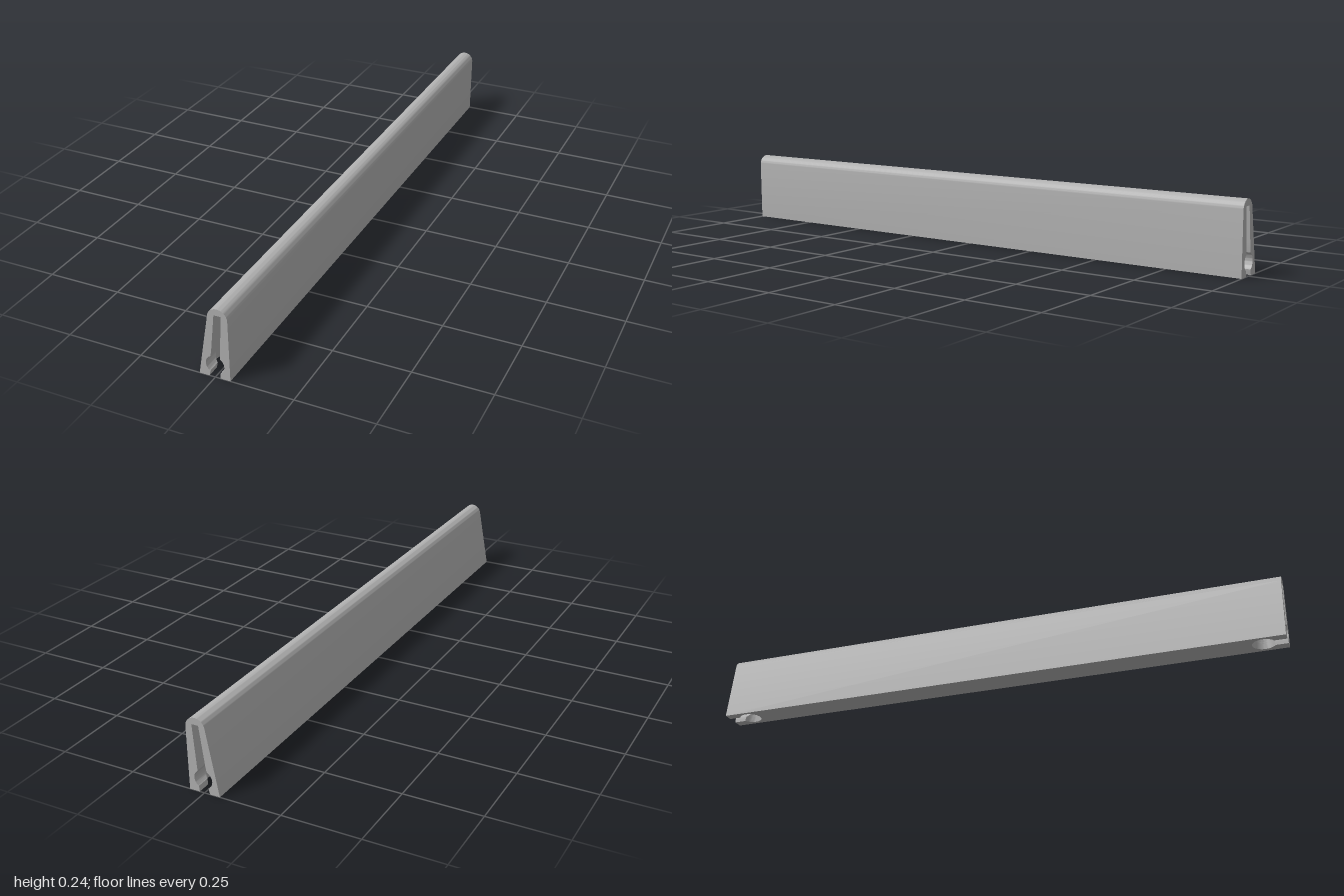
import * as THREE from 'three';
import { toCreasedNormals } from 'three/addons/utils/BufferGeometryUtils.js';

const TOP = 0.215;                       // height of the cavity ceiling
const mix = THREE.MathUtils.lerp;

// Left and right edge of the end slot at height y: a tapered slit with a round channel
function slotEdges(y) {
  const c = Math.sqrt(Math.max(0, 0.0009 - (y - 0.043) ** 2));
  const t = (y - 0.07) / (TOP - 0.07), b = y / 0.018;
  const l = y < 0.043 ? mix(-0.019, -0.014, Math.min(b, 1)) : mix(-0.0105, 0.0075, t);
  const r = y < 0.043 ? mix(0.016, 0.017, Math.min(b, 1)) : mix(0.0195, 0.030, t);
  return c > 0 ? [Math.min(l, 0.0015 - c), Math.max(r, 0.0015 + c)] : [l, r];
}

// Keyhole outline at height y: slot from the end face into a leaning, tapering round pocket
function keyhole(y, s) {
  const t = y / TOP, cx = mix(-0.002, 0.0185, t), rad = mix(0.038, 0.02, t), cz = 0.925;
  const [l, r] = slotEdges(y);
  const a0 = Math.acos((r - cx) / rad), a1 = Math.acos((l - cx) / rad) - 2 * Math.PI;
  const pts = [[r, s]];
  for (let i = 0; i <= 32; i++) {
    const a = mix(a0, a1, i / 32);
    pts.push([cx + rad * Math.cos(a), s * (cz + rad * Math.sin(a))]);
  }
  pts.push([l, s]);
  return pts;
}

// Surface through rows of points
function grid(rows, crease) {
  const n = rows[0].length, index = [];
  for (let i = 0; i < rows.length - 1; i++)
    for (let j = 0; j < n - 1; j++) {
      const a = i * n + j, d = a + n;
      index.push(a, a + 1, d + 1, a, d + 1, d);
    }
  const g = new THREE.BufferGeometry();
  g.setAttribute('position', new THREE.Float32BufferAttribute(rows.flat(2), 3));
  g.setIndex(index);
  return toCreasedNormals(g, crease);
}

const flat = (pts) => new THREE.ShapeGeometry(new THREE.Shape(pts.map(([x, y]) => new THREE.Vector2(x, y))));

export function createModel() {
  const group = new THREE.Group();
  const grey = new THREE.MeshStandardMaterial({ color: 0xb0b0b0 });
  grey.name = 'grey';
  const add = (name, geometry) => {
    const m = new THREE.Mesh(geometry, grey);
    m.name = name;
    group.add(m);
  };

  // Bar section: upright side, rounded top, leaning side
  const outline = [[0.049, 0]];
  for (let i = 0; i <= 24; i++) {
    const a = (i / 24) * 2.96;
    outline.push([0.0185 + 0.032 * Math.cos(a), 0.205 + 0.032 * Math.sin(a)]);
  }
  outline.push([-0.0515, 0]);
  add('barSides', grid(outline.map(([x, y]) => [[x, y, 1], [x, y, -1]]), 0.5));

  // Heights at which the cavity is sampled
  const levels = [0, 0.009, 0.018];
  for (let i = 0; i <= 20; i++) levels.push(0.043 + 0.03 * Math.sin(mix(-0.97, 1.12, i / 20)));
  for (let i = 1; i <= 8; i++) levels.push(mix(0.0705, TOP, i / 8));

  // End faces with the slot cut out
  const slot = [
    ...levels.map((y) => [slotEdges(y)[0], y]),
    ...levels.map((y) => [slotEdges(y)[1], y]).reverse(),
  ];
  const face = [...outline.slice(0, -1), outline.at(-1), ...slot];
  add('frontFace', flat(face).translate(0, 0, 1));
  add('backFace', flat(face.map(([x, y]) => [-x, y])).rotateY(Math.PI).translate(0, 0, -1));

  // Underside with a keyhole at each end
  const under = [
    [0.049, 1], ...keyhole(0, 1), [-0.0515, 1],
    [-0.0515, -1], ...keyhole(0, -1).reverse(), [0.049, -1],
  ];
  add('underside', flat(under).rotateX(Math.PI / 2));

  // Cavity walls and ceiling at both ends
  for (const s of [1, -1]) {
    const end = s > 0 ? 'front' : 'back';
    const rows = levels.map((y) => {
      const row = keyhole(y, s).map(([x, z]) => [x, y, z]);
      return s > 0 ? row.reverse() : row;
    });
    add(end + 'CavityWalls', grid(rows, 0.5));
    add(end + 'CavityCeiling', flat(keyhole(TOP, s)).rotateX(Math.PI / 2).translate(0, TOP, 0));
  }
  return group;
}
